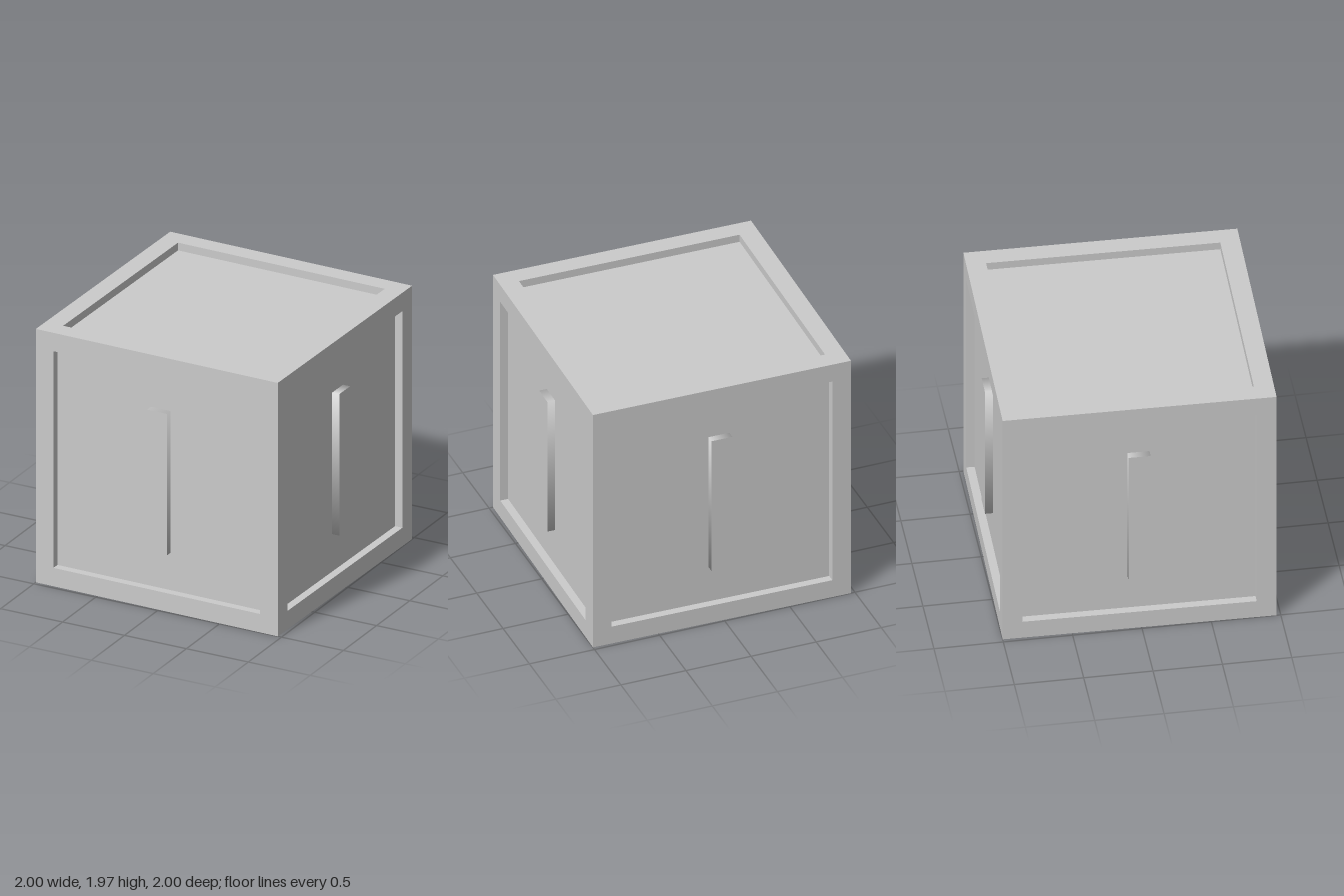
import * as THREE from 'three';

const HALF = 0.985;    // half the crate's edge
const INNER = 0.842;   // half the recessed panel's edge
const FLOOR = 0.925;   // distance from the centre to a panel
const BAR = { width: 0.16, height: 1.1, depth: 0.06 };

// One side, facing +y: flat rim, recess walls and panel as a four-sided lathe
function sideGeometry() {
  const profile = [[HALF, HALF], [INNER, HALF], [INNER, FLOOR], [0, FLOOR]]
    .map(([r, y]) => new THREE.Vector2(r * Math.SQRT2, y));
  const geometry = new THREE.LatheGeometry(profile, 4).rotateY(Math.PI / 4).toNonIndexed();
  geometry.computeVertexNormals();
  return geometry;
}

// Raised bar: flat face, with softly shaded edges around it
function barGeometry() {
  const geometry = new THREE.CylinderGeometry(Math.SQRT1_2, Math.SQRT1_2, 1, 4).rotateY(Math.PI / 4);
  geometry.attributes.position.applyMatrix4(
    new THREE.Matrix4().makeScale(BAR.width, BAR.depth, BAR.height));
  return geometry.translate(0, FLOOR + BAR.depth / 2 - 0.002, 0);
}

export function createModel() {
  const material = new THREE.MeshStandardMaterial({ color: 0xcccccc });
  const side = sideGeometry();
  const bar = barGeometry();
  const model = new THREE.Group();
  model.name = 'crate';

  const add = (name, geometry, parent) => {
    const mesh = new THREE.Mesh(geometry, material);
    mesh.name = name;
    parent.add(mesh);
    return mesh;
  };

  // Top and bottom
  add('topPanel', side, model);
  add('bottomPanel', side, model).rotation.x = Math.PI;

  // Four upright sides, each with a vertical bar
  ['front', 'left', 'back', 'right'].forEach((name, i) => {
    const wall = new THREE.Group();
    wall.name = name + 'Side';
    wall.rotation.set(Math.PI / 2, i * Math.PI / 2, 0, 'YXZ');
    add(name + 'Panel', side, wall);
    add(name + 'Bar', bar, wall);
    model.add(wall);
  });

  // The crate stands slightly turned
  model.rotation.y = -0.0152;
  model.position.y = HALF;
  const root = new THREE.Group();
  root.add(model);
  return root;
}
